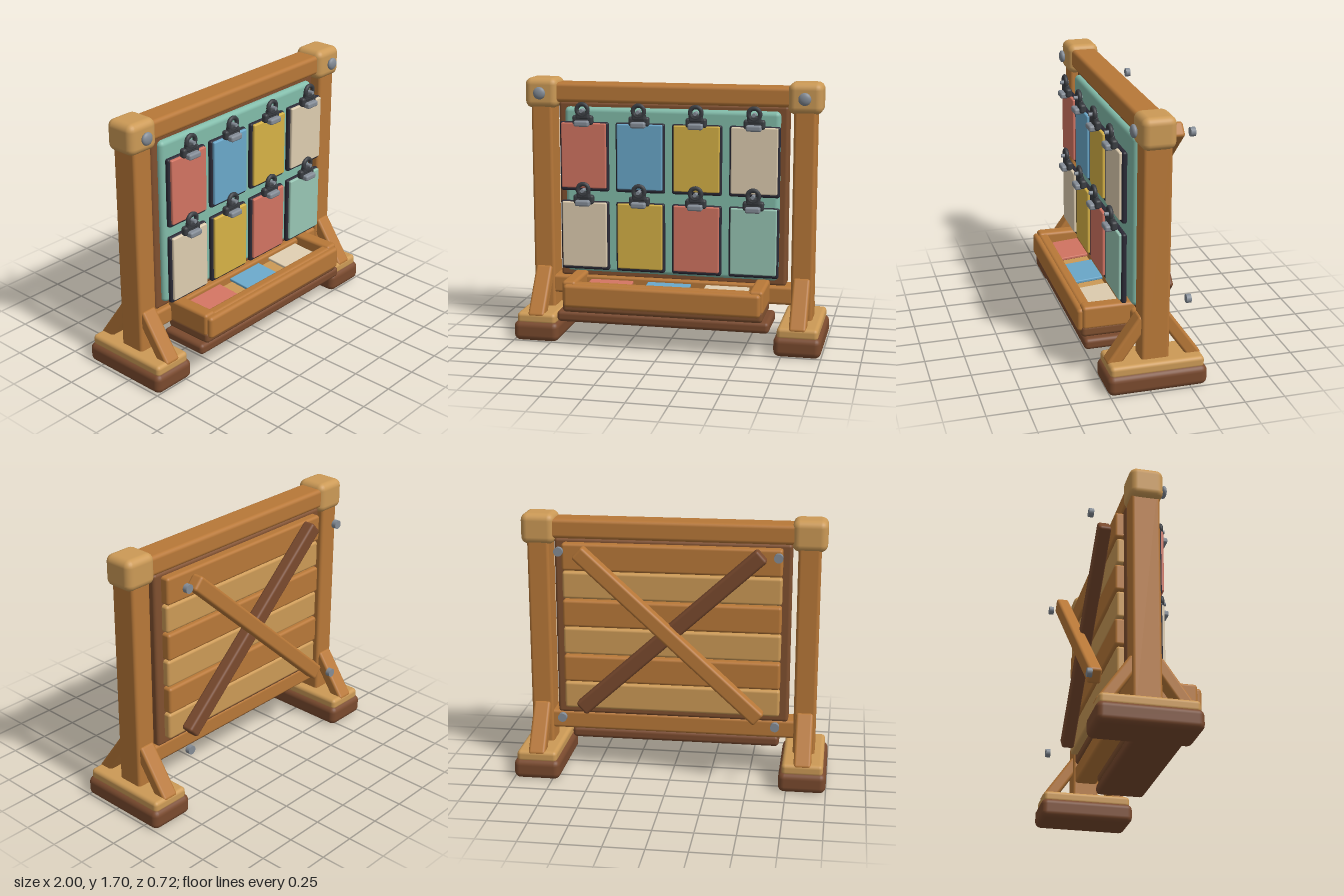
import * as THREE from 'three';
import { RoundedBoxGeometry } from 'three/addons/geometries/RoundedBoxGeometry.js';

const mat = (color) => new THREE.MeshStandardMaterial({ color });
const M = {
  wood: mat(0xb87838), light: mat(0xcc9a56), dark: mat(0x7a4a2e), panel: mat(0x80502f),
  teal: mat(0x82bcaa), red: mat(0xd27462), blue: mat(0x6aa8ca), yellow: mat(0xd6b246),
  cream: mat(0xdecdb0), mint: mat(0x98c6b4), board: mat(0x2b2a36), clip: mat(0x3a3d42), steel: mat(0x848c96),
};

export function createModel() {
  const root = new THREE.Group();

  const add = (name, geometry, material, x, y, z, parent = root) => {
    const mesh = new THREE.Mesh(geometry, material);
    mesh.name = name;
    mesh.position.set(x, y, z);
    parent.add(mesh);
    return mesh;
  };
  // Rounded box given by its limits on each axis
  const box = (name, material, [x0, x1], [y0, y1], [z0, z1], r = 0.02, parent = root) => {
    const w = x1 - x0, h = y1 - y0, d = z1 - z0;
    const radius = Math.min(r, 0.49 * Math.min(w, h, d));
    return add(name, new RoundedBoxGeometry(w, h, d, 3, radius), material,
      (x0 + x1) / 2, (y0 + y1) / 2, (z0 + z1) / 2, parent);
  };
  // Cylinder with its axis along z
  const pin = (name, material, r, length, x, y, z, parent = root) => {
    const mesh = add(name, new THREE.CylinderGeometry(r, r, length, 20), material, x, y, z, parent);
    mesh.rotation.x = Math.PI / 2;
    return mesh;
  };

  // Side supports: foot, post, cap, struts and bolts
  for (const s of [-1, 1]) {
    const side = new THREE.Group();
    side.name = s > 0 ? 'leftSupport' : 'rightSupport';
    root.add(side);
    const span = (c, half) => [s * c - half, s * c + half];
    box('foot', M.dark, span(0.85, 0.15), [0, 0.13], [-0.357, 0.263], 0.04, side);
    box('footPlate', M.light, span(0.85, 0.13), [0.11, 0.185], [-0.34, 0.245], 0.025, side);
    box('post', M.wood, span(0.85, 0.07), [0.13, 1.56], [-0.135, 0.04], 0.02, side);
    box('postCap', M.light, span(0.85, 0.108), [1.5, 1.695], [-0.15, 0.058], 0.045, side);
    for (const d of [-1, 1]) {
      const strut = box('strut', M.wood, span(0.85, 0.055), [0.115, 0.475], [-0.04, 0.04], 0.018, side);
      strut.position.z = -0.047 + d * 0.162;
      strut.rotation.x = -d * 0.61;
    }
    add('capBolt', new THREE.SphereGeometry(0.04, 24, 16), M.steel, s * 0.85, 1.6, 0.08, side).scale.z = 0.5;
    for (const y of [0.43, 1.505]) pin('braceBolt', M.steel, 0.028, 0.03, s * 0.672, y, -0.332, side);
  }

  // Rails and display panel
  box('topRail', M.wood, [-0.78, 0.78], [1.54, 1.665], [-0.135, 0.035], 0.025);
  box('bottomRail', M.wood, [-0.8, 0.8], [0.275, 0.395], [-0.12, 0.03], 0.02);
  box('backPanel', M.panel, [-0.745, 0.745], [0.39, 1.545], [-0.13, 0], 0.02);
  box('displayBoard', M.teal, [-0.698, 0.698], [0.43, 1.512], [-0.03, 0.035], 0.03);

  // Back slats, alternating in tone
  for (let i = 0; i < 6; i++) {
    const top = 1.522 - i * 0.182, odd = i % 2;
    box('backSlat', odd ? M.light : M.wood, [-0.69, 0.69], [top - 0.175, top],
      [odd ? -0.175 : -0.185, -0.1], 0.018);
  }

  // Crossed braces
  for (const [name, m, z, turn] of [['innerBrace', M.dark, -0.222, -1], ['outerBrace', M.wood, -0.277, 1]]) {
    add(name, new RoundedBoxGeometry(1.54, 0.1, 0.083, 3, 0.018), m, 0, 0.977, z).rotation.z = turn * 0.74;
  }

  // Clipboards in two rows
  const rows = [
    { top: 1.427, low: 0.98, sheets: [M.red, M.blue, M.yellow, M.cream] },
    { top: 0.915, low: 0.462, sheets: [M.cream, M.yellow, M.red, M.mint] },
  ];
  for (const { top, low, sheets } of rows) {
    sheets.forEach((sheet, i) => {
      const g = new THREE.Group();
      g.name = 'clipboard';
      g.position.set(-0.55 + i * 0.366, top, 0);
      root.add(g);
      const h = low - top;
      box('clipboardBack', M.board, [-0.16, 0.16], [h, 0], [0.07, 0.103], 0.014, g);
      box('sheet', sheet, [-0.147, 0.147], [h + 0.022, -0.006], [0.095, 0.12], 0.008, g);
      box('clipBase', M.clip, [-0.067, 0.067], [-0.015, 0.045], [0.1, 0.142], 0.015, g);
      box('clipNeck', M.clip, [-0.045, 0.045], [0.02, 0.07], [0.112, 0.146], 0.014, g);
      box('clipLip', M.steel, [-0.048, 0.048], [-0.024, 0.014], [0.125, 0.174], 0.012, g);
      add('clipRing', new THREE.TorusGeometry(0.036, 0.014, 10, 28), M.clip, 0, 0.08, 0.134, g);
      pin('clipPin', M.steel, 0.012, 0.055, 0, 0.076, 0.138, g);
    });
  }

  // Tray with front plank, ends, floor and loose cards
  box('trayBase', M.dark, [-0.683, 0.683], [0.165, 0.237], [0, 0.327], 0.025);
  box('trayBottom', M.panel, [-0.643, 0.643], [0.232, 0.31], [0, 0.335], 0.025);
  box('trayFloor', M.light, [-0.6, 0.6], [0.29, 0.352], [0.02, 0.3], 0.01);
  box('trayBack', M.wood, [-0.6, 0.6], [0.28, 0.41], [0.015, 0.06], 0.015);
  box('trayFront', M.wood, [-0.6, 0.6], [0.285, 0.425], [0.262, 0.33], 0.02);
  box('trayFrontPlank', M.wood, [-0.63, 0.63], [0.27, 0.418], [0.3, 0.358], 0.022);
  for (const s of [-1, 1]) {
    box('trayEnd', M.wood, [s * 0.6 - 0.045, s * 0.6 + 0.045], [0.285, 0.435], [0, 0.328], 0.02);
  }
  [M.red, M.blue, M.cream].forEach((m, i) => {
    const x = -0.38 + i * 0.38;
    box('trayCard', m, [x - 0.142, x + 0.142], [0.365, 0.385], [0.066, 0.264], 0.006).rotation.x = 0.08;
  });

  return root;
}
